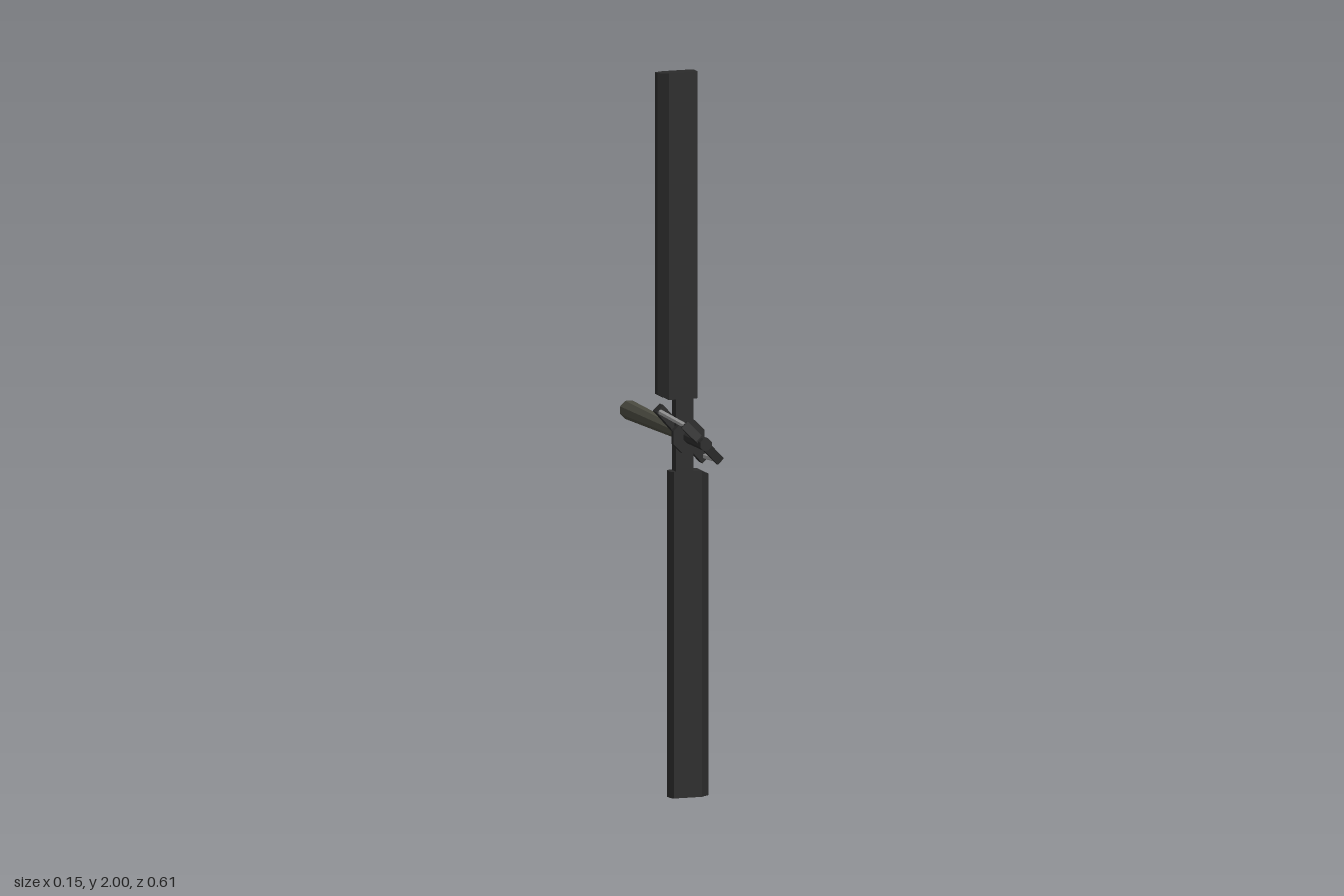
import * as THREE from 'three';

const material = (color) => new THREE.MeshStandardMaterial({ color, flatShading: true, side: THREE.DoubleSide });
const dark = material(0x2a2a2a);
const olive = material(0x4a4a40);
const steel = material(0x999999);

function part(parent, name, geometry, mat) {
  const mesh = new THREE.Mesh(geometry, mat);
  mesh.name = name;
  parent.add(mesh);
  return mesh;
}

// Octagonal round part along z, from [radius, z] points, flats facing up
function octagon(profile) {
  const points = profile.map(([r, z]) => new THREE.Vector2(r, z));
  return new THREE.LatheGeometry(points, 8, Math.PI / 8).rotateX(Math.PI / 2);
}

// Blade: constant section in x and z, pulled up along y, root clipped at the leading edge
function bladeGeometry() {
  const section = [[-0.074, 0.105], [-0.05, 0.096], [0.03, 0.096], [0.04, 0.105],
    [0.04, 0.13], [0.033, 0.142], [-0.048, 0.142], [-0.074, 0.122]];
  const shape = new THREE.Shape(section.map(([x, z]) => new THREE.Vector2(x, -z)));
  const geometry = new THREE.ExtrudeGeometry(shape, { depth: 0.9, bevelEnabled: false });
  geometry.rotateX(-Math.PI / 2);
  const pos = geometry.attributes.position;
  for (let i = 0; i < pos.count; i++) {
    if (pos.getY(i) < 0.01 && pos.getX(i) < -0.06) pos.setY(i, 0.013);
  }
  geometry.translate(0, 0.1, 0);
  geometry.computeVertexNormals();
  return geometry;
}

// Straight rod between two points
function rodGeometry(a, b, radius) {
  return new THREE.TubeGeometry(new THREE.LineCurve3(a, b), 1, radius, 6, false);
}

export function createModel() {
  const model = new THREE.Group();
  model.name = 'tailRotor';
  const rotor = new THREE.Group();
  rotor.name = 'rotor';
  rotor.position.y = 1;
  model.add(rotor);

  // Tapered drive boom and the slimmer control shaft
  part(rotor, 'driveBoom', octagon([[0, -0.305], [0.027, -0.305], [0.018, 0.1], [0, 0.1]]), olive);
  part(rotor, 'controlShaft', octagon([[0, 0.1], [0.018, 0.1], [0.018, 0.305], [0, 0.305]]), dark);

  // Flared hub cap
  part(rotor, 'hubCap', octagon([[0, 0.138], [0.018, 0.138], [0.048, 0.152], [0.048, 0.171], [0, 0.171]]), dark);

  // Diagonal bar carrying the pitch horns
  const hornBar = part(rotor, 'pitchHorns', new THREE.BoxGeometry(0.2, 0.028, 0.029), dark);
  hornBar.position.z = 0.109;
  hornBar.rotation.z = -0.838;

  // Control spider, tapering towards both ends
  const spiderShape = new THREE.Shape([[-0.075, -0.005], [-0.02, -0.012], [0.02, -0.012], [0.075, -0.005],
    [0.075, 0.005], [0.02, 0.012], [-0.02, 0.012], [-0.075, 0.005]].map(([x, y]) => new THREE.Vector2(x, y)));
  const spiderGeometry = new THREE.ExtrudeGeometry(spiderShape, { depth: 0.024, bevelEnabled: false });
  spiderGeometry.translate(0, 0, -0.012).rotateX(Math.PI / 2);
  const spider = part(rotor, 'controlSpider', spiderGeometry, dark);
  spider.position.z = 0.275;
  spider.rotation.z = -0.8;

  // Two opposite blades, each with its neck and pitch link
  for (const [i, side] of ['upper', 'lower'].entries()) {
    const arm = new THREE.Group();
    arm.name = side + 'Arm';
    arm.rotation.z = i * Math.PI;
    rotor.add(arm);
    part(arm, side + 'Blade', bladeGeometry(), dark);
    const neck = part(arm, side + 'BladeNeck', new THREE.BoxGeometry(0.05, 0.12, 0.034), dark);
    neck.position.set(0, 0.06, 0.12);
    part(arm, side + 'PitchLink', rodGeometry(
      new THREE.Vector3(-0.065, 0.065, 0.115), new THREE.Vector3(-0.049, 0.05, 0.277), 0.008), steel);
  }
  return model;
}
